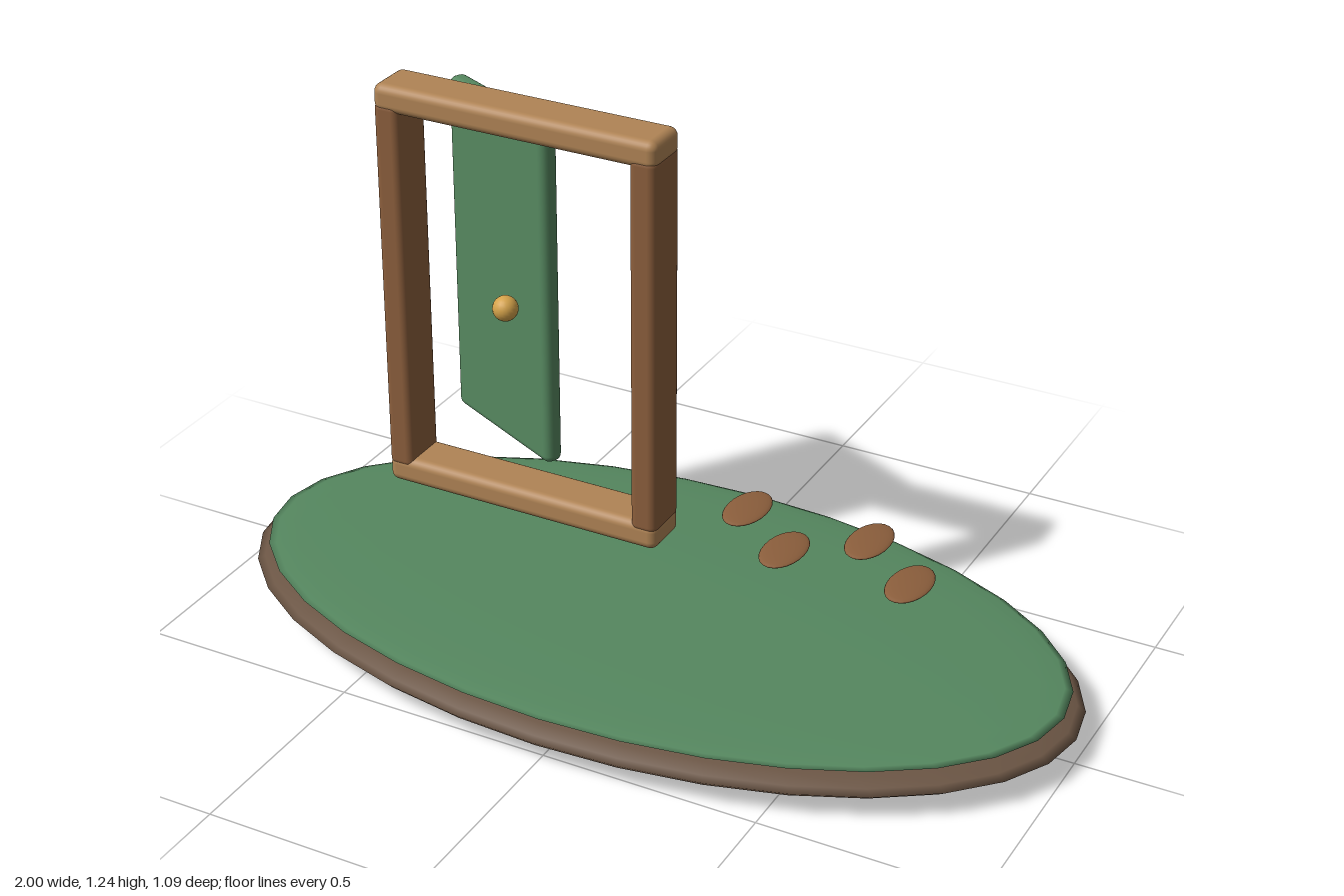
import * as THREE from 'three';
import { RoundedBoxGeometry } from 'three/addons/geometries/RoundedBoxGeometry.js';

const paint = (color) => new THREE.MeshStandardMaterial({ color });

export function createModel() {
  const model = new THREE.Group();
  const earth = paint(0x6b5544), grass = paint(0x55875f), postWood = paint(0x8b5e3c);
  const beamWood = paint(0xb08455), doorGreen = paint(0x55875f), brass = paint(0xd4a24a);

  const add = (name, geometry, material, x, y, z) => {
    const mesh = new THREE.Mesh(geometry, material);
    mesh.name = name;
    mesh.position.set(x, y, z);
    model.add(mesh);
    return mesh;
  };
  const ellipsoid = (rx, ry, rz, w = 32, h = 16) => new THREE.SphereGeometry(1, w, h).scale(rx, ry, rz);
  const block = (w, h, d, r) => new RoundedBoxGeometry(w, h, d, 3, r);

  // Floating island: flattened earth with a thin lawn on top
  add('islandBase', ellipsoid(1, 0.06, 0.545), earth, 0, 0.06, 0);
  add('lawn', ellipsoid(0.97, 0.019, 0.52), grass, 0, 0.105, 0);

  // Door frame: two posts between two beams
  const frameX = -0.31;
  for (const [name, side] of [['rightPost', -1], ['leftPost', 1]])
    add(name, block(0.063, 0.89, 0.116, 0.018), postWood, frameX + side * 0.309, 0.753, 0);
  for (const [name, y] of [['bottomBeam', 0.301], ['topBeam', 1.205]])
    add(name, block(0.682, 0.064, 0.116, 0.02), beamWood, frameX, y, 0);

  // Door swung open behind the frame, with its knob
  const door = add('door', block(0.367, 0.82, 0.045, 0.018), doorGreen, -0.454, 0.753, -0.151);
  door.rotation.y = -0.45;
  add('doorKnob', ellipsoid(0.029, 0.029, 0.029, 20, 14), brass, -0.37, 0.743, -0.005);

  // Hovering stepping discs, staggered either side of the centre line
  for (let i = 0; i < 4; i++)
    add('steppingDisc' + (i + 1), ellipsoid(0.047, 0.008, 0.08, 24, 12), postWood,
      0.197 + i * 0.145, 0.367, i % 2 ? 0.057 : -0.059);

  return model;
}
